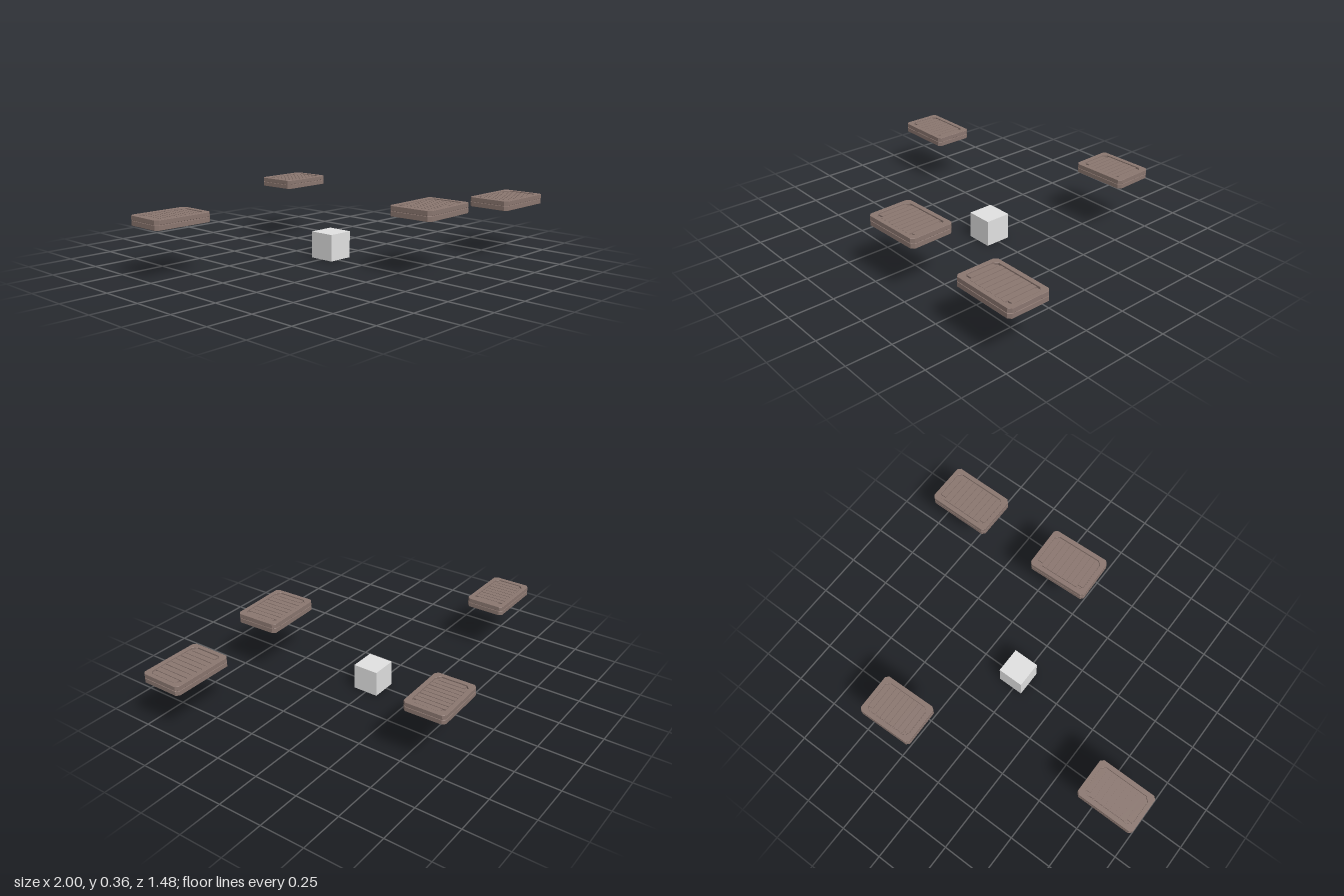
import * as THREE from 'three';

const wood = new THREE.MeshStandardMaterial({ name: 'brown wood', color: 0x8b7770 });
const grey = new THREE.MeshStandardMaterial({ name: 'light grey', color: 0xe2e2e2 });

// Rectangle with cut corners
function cutRect(w, d, c, Type = THREE.Shape) {
  const x = w / 2, z = d / 2;
  return new Type([
    [-x + c, -z], [x - c, -z], [x, -z + c], [x, z - c],
    [x - c, z], [-x + c, z], [-x, z - c], [-x, -z + c],
  ].map(([a, b]) => new THREE.Vector2(a, b)));
}

// Flat slab lying in xz, from y0 to y1
function slab(name, shape, y0, y1, bevel = 0) {
  const geo = new THREE.ExtrudeGeometry(shape, {
    depth: y1 - y0 - 2 * bevel, bevelEnabled: bevel > 0,
    bevelSize: bevel, bevelThickness: bevel, bevelOffset: -bevel, bevelSegments: 1,
  });
  geo.rotateX(-Math.PI / 2).translate(0, y0 + bevel, 0);
  const mesh = new THREE.Mesh(geo, wood);
  mesh.name = name;
  return mesh;
}

// Slatted platform: base, narrow seam, rim, sunken floor and slats
function makePlatform(name, w, d, h) {
  const group = new THREE.Group();
  group.name = name;
  const cut = 0.016, border = 0.025, mid = h * 0.52;
  const iw = w - 2 * border, id = d - 2 * border;

  group.add(slab('base', cutRect(w, d, cut), 0, mid - 0.0015, 0.001));
  group.add(slab('seam', cutRect(w - 0.006, d - 0.006, cut), mid - 0.003, mid + 0.003));

  const rimShape = cutRect(w, d, cut);
  rimShape.holes.push(cutRect(iw, id, 0.022, THREE.Path));
  group.add(slab('rim', rimShape, mid + 0.0015, h, 0.001));
  group.add(slab('grooveFloor', cutRect(iw + 0.008, id + 0.008, 0.022), mid, h - 0.012));

  const count = 9, gap = 0.004, pitch = (iw - 0.006) / count;
  for (let i = 0; i < count; i++) {
    const end = i === 0 || i === count - 1;
    const length = id - (end ? 0.04 : 0.008);
    const slat = new THREE.Mesh(new THREE.BoxGeometry(pitch - gap, 0.012, length), wood);
    slat.name = 'slat';
    slat.position.set((i - (count - 1) / 2) * pitch, h - 0.01, 0);
    slat.rotation.y = 0.01 * Math.sin(i * 2.3);
    group.add(slat);
  }
  return group;
}

export function createModel() {
  const model = new THREE.Group();
  model.name = 'floatingPlatforms';

  // name, width, depth, height, x, y, z, turn
  const platforms = [
    ['leftPlatform', 0.368, 0.245, 0.053, 0.815, 0.27, 0.61, 0],
    ['frontPlatform', 0.352, 0.256, 0.055, 0.121, 0.305, 0.602, 0.035],
    ['backPlatform', 0.318, 0.234, 0.05, 0.34, 0.308, -0.619, 0.025],
    ['rightPlatform', 0.341, 0.226, 0.052, -0.83, 0.27, -0.299, 0],
  ];
  for (const [name, w, d, h, x, y, z, turn] of platforms) {
    const platform = makePlatform(name, w, d, h);
    platform.position.set(x, y, z);
    platform.rotation.y = turn;
    model.add(platform);
  }

  // Plain cube on the ground
  const cube = new THREE.Mesh(new THREE.BoxGeometry(0.147, 0.147, 0.147), grey);
  cube.name = 'centreCube';
  cube.position.set(0.02, 0.0735, 0.003);
  model.add(cube);
  return model;
}
